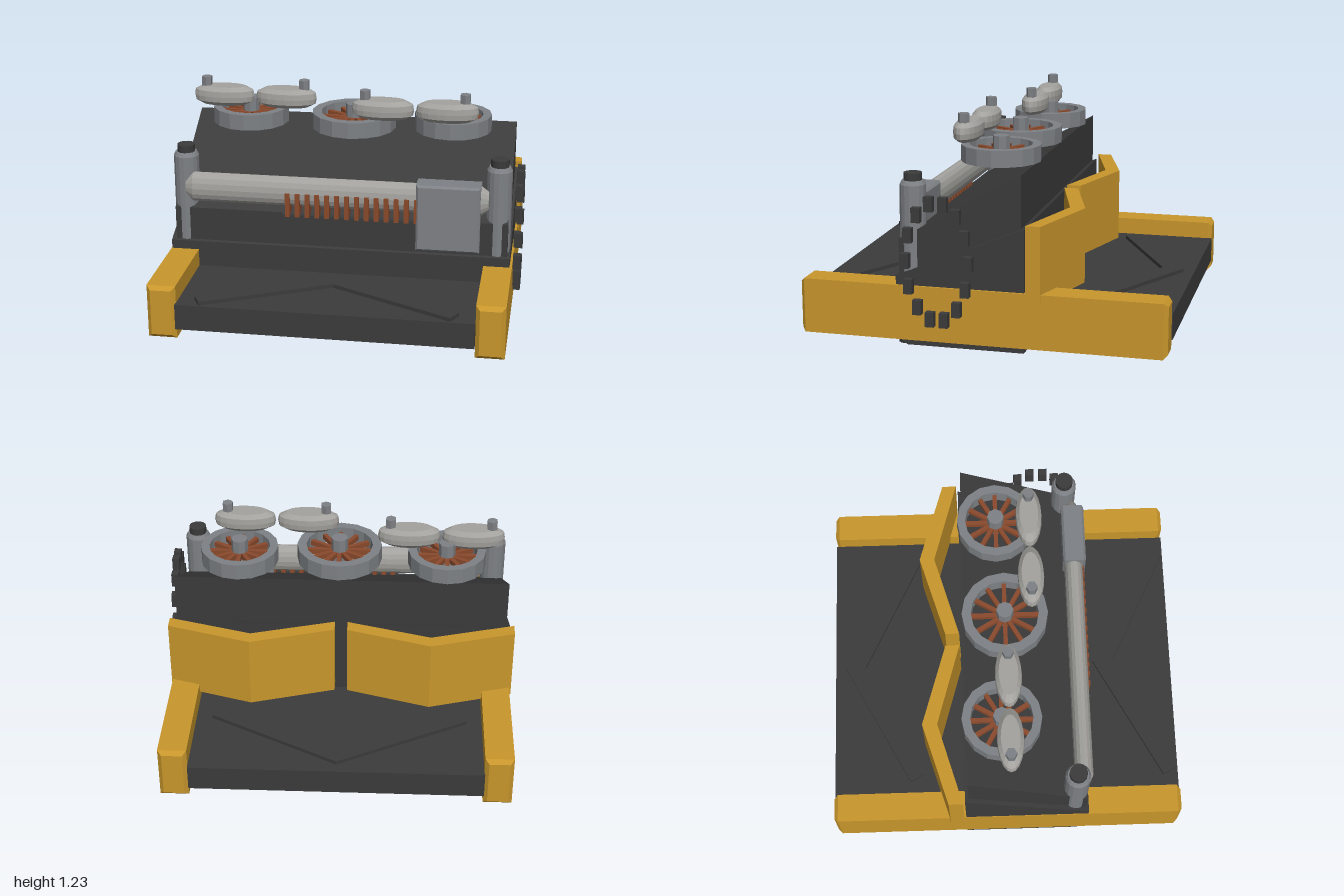
import * as THREE from 'three';

const mat = (name, color, side = THREE.FrontSide) => {
  const m = new THREE.MeshStandardMaterial({ color, side });
  m.name = name;
  return m;
};

export function createModel() {
  const model = new THREE.Group();
  model.name = 'machine';
  const dark = mat('dark hull', 0x3b3b3b);
  const yellow = mat('yellow paint', 0xc8962c);
  const light = mat('pale metal', 0xa3a29e);
  const steel = mat('steel', 0x7e8185);
  const copper = mat('copper', 0x8a4a2c);
  const CX = -0.02; // middle of the chassis; the chain sticks out on the left

  const add = (name, geo, material, x = 0, y = 0, z = 0) => {
    const m = new THREE.Mesh(geo, material);
    m.name = name;
    m.position.set(x, y, z);
    model.add(m);
    return m;
  };
  // box given by its limits
  const box = (name, material, x0, x1, y0, y1, z0, z1) =>
    add(name, new THREE.BoxGeometry(x1 - x0, y1 - y0, z1 - z0), material,
      (x0 + x1) / 2, (y0 + y1) / 2, (z0 + z1) / 2);
  const flat = (geo) => {
    const g = geo.index ? geo.toNonIndexed() : geo;
    g.computeVertexNormals();
    return g;
  };
  const shapeOf = (pts) => new THREE.Shape(pts.map(([a, b]) => new THREE.Vector2(a, b)));
  // [z, y] profile extruded across x
  const acrossX = (pts, x0, x1) =>
    new THREE.ExtrudeGeometry(shapeOf(pts.map(([z, y]) => [-z, y])), { depth: x1 - x0, bevelEnabled: false })
      .rotateY(Math.PI / 2).translate(x0, 0, 0);
  // [x, z] plan extruded upward
  const upright = (pts, y0, y1) =>
    new THREE.ExtrudeGeometry(shapeOf(pts.map(([x, z]) => [x, -z])), { depth: y1 - y0, bevelEnabled: false })
      .rotateX(-Math.PI / 2).translate(0, y0, 0);
  // box with chamfered edges
  const chamferBox = (w, h, d, b) => {
    const x = w / 2 - b, y = h / 2 - b;
    return new THREE.ExtrudeGeometry(shapeOf([[-x, -y], [x, -y], [x, y], [-x, y]]),
      { depth: d - 2 * b, bevelSize: b, bevelThickness: b, bevelSegments: 1 }).translate(0, 0, b - d / 2);
  };

  // chassis: deck, side rails, cross bars
  box('deck', dark, -0.82, 0.78, 0.1, 0.243, -1, 1);
  for (const x of [-0.895, 0.86])
    add('sideRail', chamferBox(0.157, 0.3, 1.996, 0.022), yellow, x, 0.19, 0);
  for (const z of [-0.6, 0.6])
    box('crossBar', dark, -0.84, 0.8, 0, 0.11, z - 0.08, z + 0.08);

  // raised chevrons on the deck
  for (const z of [0, -1.475]) {
    const half = [[0.71, 0.915], [0.67, 0.99]];
    const pts = [[0, 0.535], ...half, [0, 0.655], [-0.67, 0.99], [-0.71, 0.915]];
    add('deckChevron', upright(pts.map(([x, d]) => [x + CX, d + z]), 0.24, 0.264), dark);
  }

  // hull: lower wedge and the steeper casing above it
  add('lowerHull', acrossX([[0.46, 0.06], [0.46, 0.39], [-0.24, 0.678], [-0.24, 0.01], [0.4, 0.01]], -0.97, 0.925), dark);
  add('upperHull', acrossX([[0.445, 0.38], [0.445, 0.585], [-0.22, 0.96], [-0.22, 0.677], [0.03, 0.569]], -0.945, 0.91), dark);
  for (const x of [-0.9, 0.86])
    add('footPad', new THREE.CylinderGeometry(0.055, 0.045, 0.055, 12), dark, x, 0.035, 0.42);

  // bent blades at the back
  for (const x of [-0.52, 0.48]) {
    const pts = [[-0.465, -0.25], [0, -0.385], [0.465, -0.25], [0.465, -0.33], [0, -0.47], [-0.465, -0.33]];
    add('rearBlade', upright(pts.map(([a, z]) => [a + x, z]), 0.29, 0.705), yellow);
  }

  // corner posts with dark caps
  for (const x of [-0.888, 0.852]) {
    const profile = [[0, 0.38], [0.07, 0.38], [0.07, 0.875], [0.058, 0.897], [0, 0.897]];
    add('cornerPost', flat(new THREE.LatheGeometry(profile.map(([r, y]) => new THREE.Vector2(r, y)), 16)),
      steel, x, 0, 0.38);
    add('postCap', new THREE.CylinderGeometry(0.05, 0.05, 0.05, 12), dark, x, 0.912, 0.38);
  }

  // flattened front pipe with rounded ends
  const pipe = [[0, -0.86], [0.055, -0.86], [0.085, -0.82], [0.085, 0.78], [0.055, 0.82], [0, 0.82]];
  const pipeGeo = new THREE.LatheGeometry(pipe.map(([r, y]) => new THREE.Vector2(r, y)), 16)
    .rotateZ(-Math.PI / 2).scale(1, 1, 0.62);
  add('frontPipe', flat(pipeGeo), light, CX, 0.705, 0.422);
  add('pipeBox', chamferBox(0.35, 0.38, 0.13, 0.012), steel, 0.583, 0.61, 0.427);

  // cooling fins under the pipe
  box('finBase', dark, -0.335, 0.42, 0.515, 0.585, 0.4, 0.478);
  for (let i = 0; i < 14; i++) {
    const x = -0.302 + i * 0.0548;
    box('coolingFin', copper, x - 0.013, x + 0.013, 0.575, 0.71, 0.39, 0.484);
  }

  // three spoked fans
  for (const [x, z, r, ri] of [[-0.602, -0.025, 0.217, 0.17], [0, 0.01, 0.238, 0.187], [0.56, -0.025, 0.217, 0.17]]) {
    const ring = [[ri, 0.965], [r, 0.965], [r, 1.055], [ri, 1.055], [ri, 0.965]];
    add('fanRing', flat(new THREE.LatheGeometry(ring.map(([a, y]) => new THREE.Vector2(a, y)), 16)), steel, x, 0, z);
    add('fanHub', flat(new THREE.CylinderGeometry(0.047, 0.047, 0.14, 8)), steel, x, 1.03, z);
    for (let i = 0; i < 12; i++) {
      const a = i * Math.PI / 6;
      const spoke = add('fanSpoke', new THREE.BoxGeometry(ri, 0.03, 0.024), copper,
        x + Math.cos(a) * ri / 2, 1.01, z - Math.sin(a) * ri / 2);
      spoke.rotation.y = a;
    }
  }

  // oval pods with hexagonal knobs
  for (const [x, z, knobX] of [[-0.747, 0.017, -0.848], [-0.388, 0.017, -0.285], [0.183, 0.16, 0.083], [0.542, 0.16, 0.64]]) {
    const pod = [[0, 1.068], [0.125, 1.068], [0.168, 1.09], [0.174, 1.12], [0.168, 1.152], [0.125, 1.175], [0, 1.175]];
    add('pod', flat(new THREE.LatheGeometry(pod.map(([r, y]) => new THREE.Vector2(r, y)), 20).scale(1, 1, 0.42)),
      light, x, 0, z);
    add('podKnob', flat(new THREE.CylinderGeometry(0.031, 0.031, 0.09, 6)), steel, knobX, 1.18, z);
  }

  // loose loop of chain links on the left side
  for (let i = 0; i < 14; i++) {
    const a = i * Math.PI / 7;
    add('chainLink', new THREE.BoxGeometry(0.04, 0.08, 0.048), dark,
      0.96, 0.484 + 0.32 * Math.sin(a), 0.223 + 0.172 * Math.cos(a));
  }
  return model;
}
